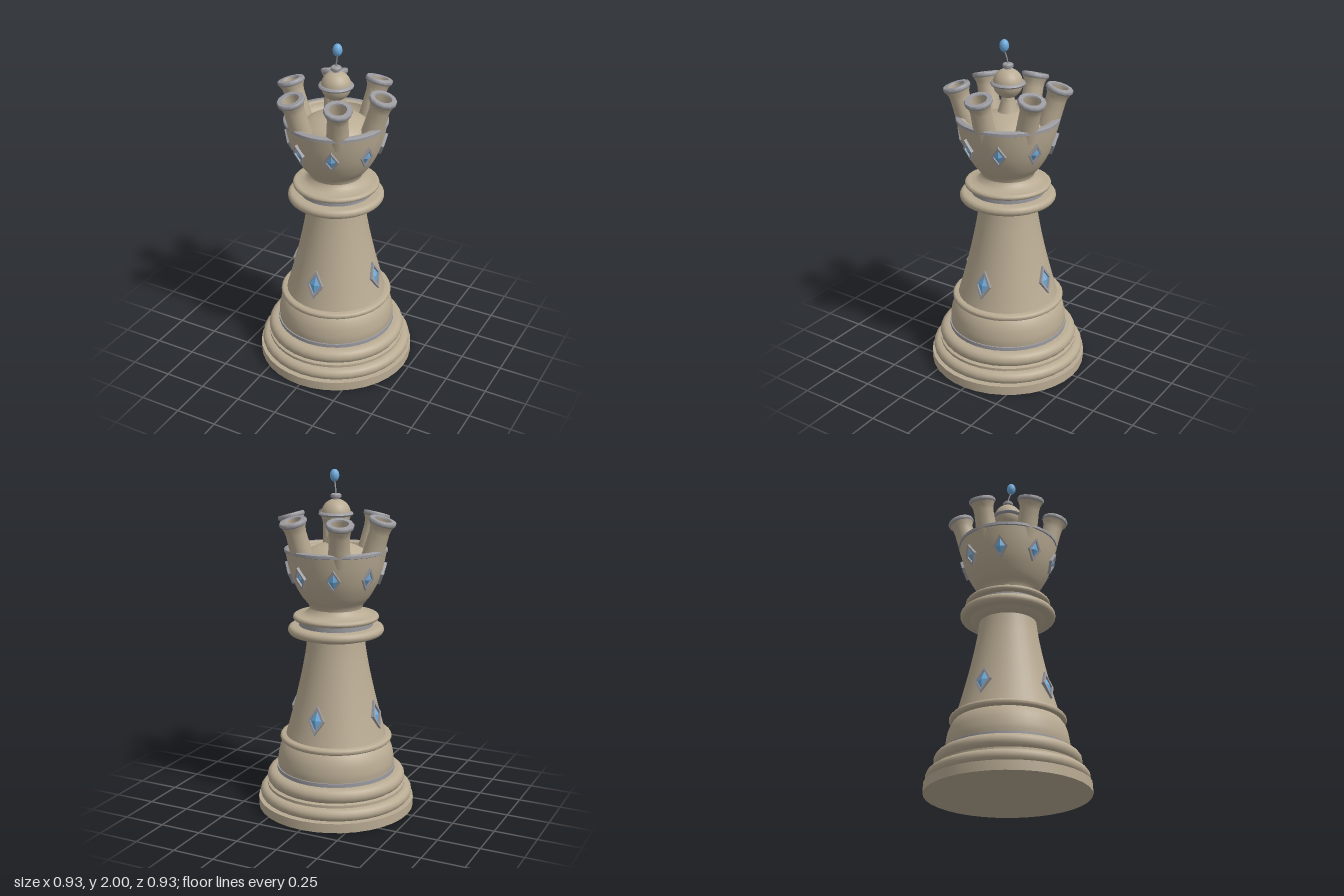
import * as THREE from 'three';
import { toCreasedNormals } from 'three/addons/utils/BufferGeometryUtils.js';

const mat = (name, color) => Object.assign(new THREE.MeshStandardMaterial({ color }), { name });

export function createModel() {
  const stone = mat('stone', 0xb9ab93);
  const silver = mat('silver', 0x9b9ba0);
  const gem = mat('blue gem', 0x6caadb);
  const model = new THREE.Group();

  const mesh = (parent, name, geometry, material) => {
    const m = new THREE.Mesh(geometry, material);
    m.name = name;
    parent.add(m);
    return m;
  };
  // Turned part from [radius, height] pairs, listed upwards on the outside
  const turned = (parent, name, pts, material, sides = 36) => {
    const profile = pts.map(([r, y]) => new THREE.Vector2(r, y));
    return mesh(parent, name, toCreasedNormals(new THREE.LatheGeometry(profile, sides), 0.7), material);
  };
  // Smooth curve through a few profile points
  const curve = (pts, n = 14) =>
    new THREE.SplineCurve(pts.map(([r, y]) => new THREE.Vector2(r, y))).getPoints(n).map(p => [p.x, p.y]);
  // Half-round moulding between two heights, reaching out to the given radius
  const bead = (name, radius, y0, y1, bulge, material = stone) => {
    const pts = [[0.14, y0]];
    for (let i = 0; i <= 8; i++) {
      const a = -Math.PI / 2 + (i / 8) * Math.PI;
      pts.push([radius - bulge + Math.cos(a) * bulge, (y0 + y1) / 2 + Math.sin(a) * (y1 - y0) / 2]);
    }
    pts.push([0.14, y1]);
    return turned(model, name, pts, material);
  };

  // Stepped base
  turned(model, 'basePlate', [[0, 0], [0.465, 0], [0.465, 0.055], [0.2, 0.055]], stone);
  bead('lowerBaseMoulding', 0.455, 0.055, 0.127, 0.036);
  turned(model, 'baseGroove', [[0.41, 0.12], [0.41, 0.143], [0.38, 0.15]], stone);
  bead('upperBaseMoulding', 0.412, 0.143, 0.228, 0.042);
  turned(model, 'baseBand', [[0.352, 0.22], [0.352, 0.25], [0.3, 0.253]], silver);
  turned(model, 'baseDome', curve([[0.345, 0.25], [0.347, 0.29], [0.338, 0.345], [0.322, 0.385], [0.302, 0.415]]), stone);
  bead('domeRing', 0.332, 0.41, 0.446, 0.018);

  // Column and double collar
  turned(model, 'column', curve([[0.298, 0.44], [0.275, 0.52], [0.236, 0.67], [0.202, 0.82], [0.178, 0.95], [0.167, 1.04]], 20), stone);
  turned(model, 'collarFlare', [[0.165, 1.028], [0.2, 1.035], [0.225, 1.055]], stone);
  bead('lowerCollar', 0.28, 1.052, 1.106, 0.027);
  turned(model, 'collarBand', [[0.215, 1.1], [0.215, 1.145]], silver);
  bead('upperCollar', 0.25, 1.138, 1.17, 0.016);
  turned(model, 'collarTop', curve([[0.22, 1.168], [0.18, 1.178], [0.157, 1.2], [0.15, 1.215]], 8), stone);

  // Crown cup, its rim and its domed floor
  turned(model, 'crownCup', curve([[0.15, 1.205], [0.163, 1.235], [0.2, 1.28], [0.243, 1.36], [0.272, 1.45], [0.291, 1.545]], 18), stone);
  turned(model, 'crownRim', [[0.289, 1.535], [0.296, 1.538], [0.296, 1.554], [0.29, 1.558], [0.262, 1.558]], silver);
  turned(model, 'crownInside', [[0.262, 1.558], [0.244, 1.55], [0.235, 1.515], [0.208, 1.495]], stone);
  turned(model, 'crownFloor', curve([[0.212, 1.495], [0.175, 1.534], [0.12, 1.566], [0.05, 1.588]], 10), stone);

  // Finial with a gem on a bent wire
  turned(model, 'finialStem', curve([[0.066, 1.57], [0.055, 1.595], [0.04, 1.65], [0.035, 1.685]], 8), stone, 24);
  const ball = mesh(model, 'finialBall', new THREE.SphereGeometry(0.085, 24, 16), stone);
  ball.position.y = 1.75;
  turned(model, 'finialBand', [[0.08, 1.737], [0.095, 1.742], [0.1, 1.75], [0.095, 1.758], [0.08, 1.763]], silver, 24);
  turned(model, 'finialKnob', [[0.022, 1.825], [0.02, 1.838], [0.03, 1.843], [0.031, 1.857], [0.024, 1.864], [0, 1.866]], silver, 16);
  const wire = new THREE.CatmullRomCurve3([[0, 1.855, 0], [0.004, 1.89, 0.003], [0.015, 1.935, 0.013]].map(p => new THREE.Vector3(...p)));
  mesh(model, 'finialWire', new THREE.TubeGeometry(wire, 8, 0.004, 6), silver);
  const egg = mesh(model, 'finialGem', new THREE.SphereGeometry(1, 16, 12), gem);
  egg.scale.set(0.027, 0.036, 0.027);
  egg.position.set(0.016, 1.964, 0.014);

  // Six hollow horns leaning out of the crown
  for (let i = 0; i < 6; i++) {
    const pivot = new THREE.Group();
    pivot.rotation.y = i * Math.PI / 3;
    const horn = new THREE.Group();
    horn.name = 'crownHorn';
    horn.position.set(0.291, 1.735, 0);
    horn.rotation.z = -0.29;
    pivot.add(horn);
    model.add(pivot);
    turned(horn, 'hornTube', [[0.064, -0.25], [0.06, -0.15], [0.058, -0.08], [0.062, -0.05], [0.073, -0.026]], stone, 12);
    turned(horn, 'hornLip', [[0.073, -0.028], [0.079, -0.02], [0.079, -0.005], [0.075, 0], [0.05, 0], [0.047, -0.008]], silver, 12);
    turned(horn, 'hornBore', [[0.047, -0.008], [0.047, -0.12]], stone, 12);
    const disc = mesh(horn, 'hornGem', new THREE.CircleGeometry(0.048, 12), gem);
    disc.rotation.x = -Math.PI / 2;
    disc.position.y = -0.11;
  }

  // Diamond gems: a silver frame around a low four-sided pyramid
  const diamond = (P, w, h) => new P([[w, 0], [0, h], [-w, 0], [0, -h]].map(p => new THREE.Vector2(...p)));
  const addGems = (name, count, start, radius, y, lean, w, h) => {
    const frameShape = diamond(THREE.Shape, w, h);
    frameShape.holes.push(diamond(THREE.Path, w * 0.7, h * 0.72));
    const frame = new THREE.ExtrudeGeometry(frameShape, { depth: 0.024, bevelEnabled: false });
    frame.translate(0, 0, -0.012);
    const stud = new THREE.ConeGeometry(1, 0.016, 4).toNonIndexed();
    stud.rotateX(Math.PI / 2).scale(w * 0.72, h * 0.74, 1).translate(0, 0, 0.008);
    stud.computeVertexNormals();
    for (let i = 0; i < count; i++) {
      const pivot = new THREE.Group();
      pivot.rotation.y = start + i * 2 * Math.PI / count;
      const setting = new THREE.Group();
      setting.name = name;
      setting.position.set(0, y, radius);
      setting.rotation.x = lean;
      mesh(setting, 'gemFrame', frame, silver);
      mesh(setting, 'gemStud', stud, gem);
      pivot.add(setting);
      model.add(pivot);
    }
  };
  addGems('columnGem', 4, 0, 0.257, 0.59, -0.25, 0.053, 0.086);
  addGems('crownGem', 8, Math.PI / 8, 0.262, 1.41, 0.31, 0.042, 0.068);

  return model;
}
